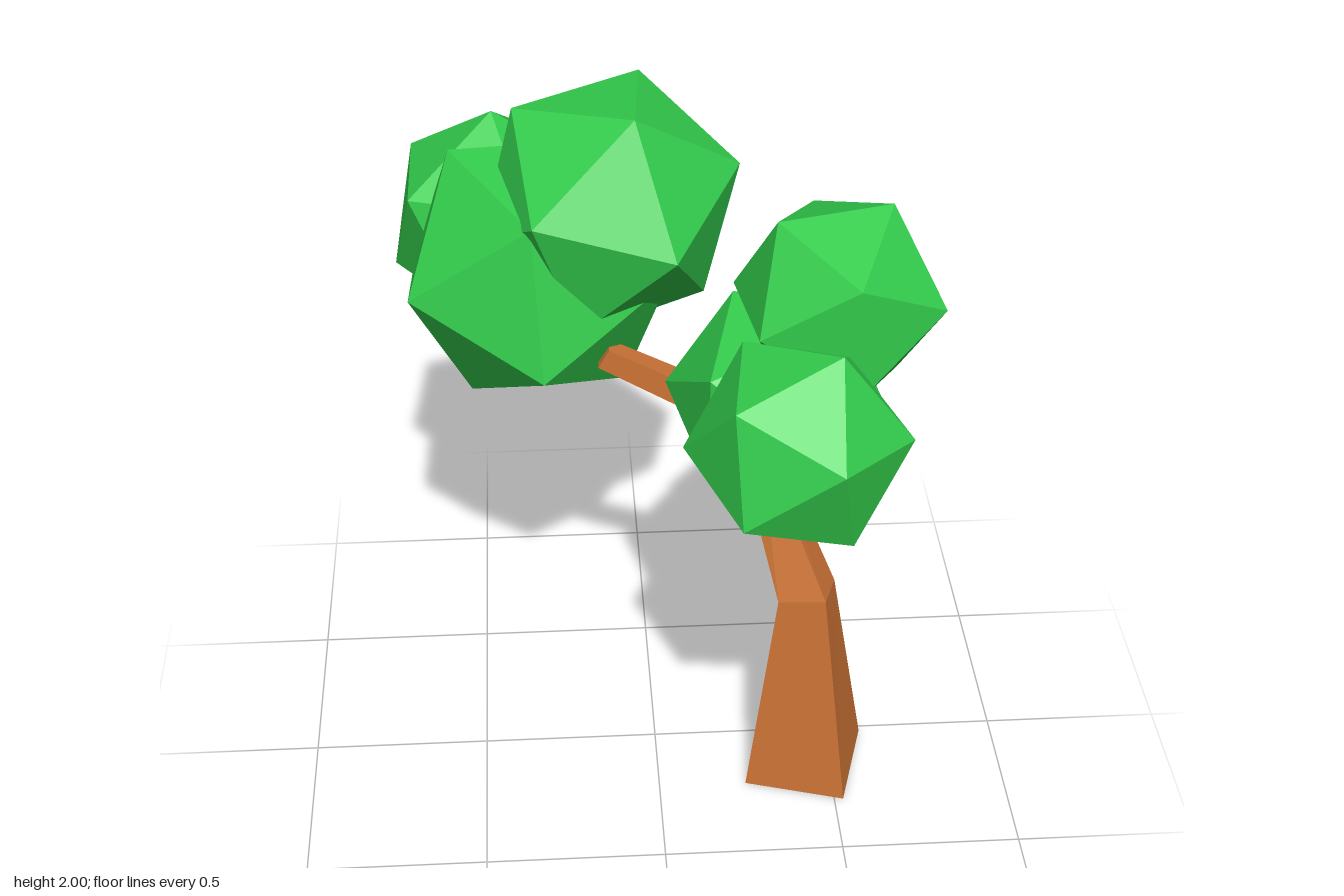
import * as THREE from 'three';

const leafMat = new THREE.MeshStandardMaterial({ color: 0x33cc4c, flatShading: true });
const barkMat = new THREE.MeshStandardMaterial({ color: 0xcc7336, flatShading: true });
const V = (a) => new THREE.Vector3(...a);

// Orthonormal frame whose first axis is a, with b in the plane of the first two
function frame(a, b) {
  const e1 = a.clone().normalize();
  const e3 = a.clone().cross(b).normalize();
  return new THREE.Matrix4().makeBasis(e1, e3.clone().cross(e1), e3);
}

// Icosahedron turned so that two neighbouring corners point along p and q
function leafBall(name, centre, radius, p, q) {
  const t = (1 + Math.sqrt(5)) / 2;
  const rest = frame(V([-1, t, 0]), V([1, t, 0]));
  const turn = frame(V(p), V(q)).multiply(rest.transpose());
  const geo = new THREE.IcosahedronGeometry(radius, 0).applyMatrix4(turn);
  const mesh = new THREE.Mesh(geo, leafMat);
  mesh.position.set(...centre);
  mesh.name = name;
  return mesh;
}

// Closed skin over four-cornered rings, corners counter-clockwise about the growth direction
function loft(name, rings) {
  const pos = [];
  const quad = (a, b, c, d) => [a, b, c, a, c, d].forEach((p) => pos.push(...p));
  for (let r = 0; r < rings.length - 1; r++) {
    for (let i = 0; i < 4; i++) {
      const j = (i + 1) % 4;
      quad(rings[r][i], rings[r][j], rings[r + 1][j], rings[r + 1][i]);
    }
  }
  const first = rings[0], last = rings[rings.length - 1];
  quad(first[3], first[2], first[1], first[0]);
  quad(last[0], last[1], last[2], last[3]);
  const geo = new THREE.BufferGeometry();
  geo.setAttribute('position', new THREE.Float32BufferAttribute(pos, 3));
  geo.computeVertexNormals();
  const mesh = new THREE.Mesh(geo, barkMat);
  mesh.name = name;
  return mesh;
}

// Straight square branch, tapering from half-width h0 to h1
function branch(name, from, to, side, h0, h1) {
  const v = V(side);
  const u = v.clone().cross(V(to).sub(V(from))).normalize();
  const ring = (c, h) => [[1, 1], [-1, 1], [-1, -1], [1, -1]].map(([a, b]) =>
    V(c).addScaledVector(u, a * h).addScaledVector(v, b * h).toArray());
  return loft(name, [ring(from, h0), ring(to, h1)]);
}

export function createModel() {
  const tree = new THREE.Group();
  tree.name = 'tree';

  // Bent, tapering trunk
  tree.add(loft('trunk', [
    [[0.525, 0.003, 0.31], [0.605, 0.02, 0.04], [0.33, 0.012, -0.045], [0.25, 0, 0.225]],
    [[0.455, 0.67, 0.235], [0.495, 0.65, 0.11], [0.37, 0.62, 0.065], [0.33, 0.64, 0.19]],
    [[0.285, 1.07, 0.015], [0.31, 1.06, -0.05], [0.25, 1.03, -0.08], [0.225, 1.04, -0.02]],
    [[0.26, 1.13, 0.0], [0.29, 1.11, -0.045], [0.24, 1.12, -0.08], [0.2, 1.12, -0.02]],
  ]));

  // Two branches forking from the trunk top
  tree.add(branch('longBranch', [0.26, 1.1, -0.045], [-0.135, 1.32, -0.05], [0, 0, 1], 0.04, 0.03));
  tree.add(branch('shortBranch', [0.25, 1.07, -0.03], [0.27, 1.3, 0.12], [1, 0, 0], 0.035, 0.03));

  // Foliage: three balls on each branch
  const foliage = new THREE.Group();
  foliage.name = 'foliage';
  foliage.add(
    leafBall('frontLeaves', [0.31, 1.46, 0.6], 0.28, [0.095, 0.26, 0.03], [0.08, 0.07, 0.265]),
    leafBall('upperLeftLeaves', [0.45, 1.63, 0.205], 0.28, [0.13, 0.25, -0.02], [0.25, 0.01, 0.115]),
    leafBall('lowerLeftLeaves', [0.295, 1.355, 0.225], 0.288, [0.105, -0.25, 0.115], [-0.105, -0.25, -0.115]),
    leafBall('topLeaves', [-0.107, 1.68, -0.23], 0.36, [0.342, 0.11, 0.015], [0.062, 0.32, 0.164]),
    leafBall('lowerRightLeaves', [-0.3, 1.46, -0.28], 0.402, [0.005, -0.14, 0.376], [-0.195, -0.35, 0.065]),
    leafBall('backLeaves', [-0.415, 1.453, -0.585], 0.3225, [0, 1, 0], [0.29, 0.144, 0]),
  );
  tree.add(foliage);
  return tree;
}
